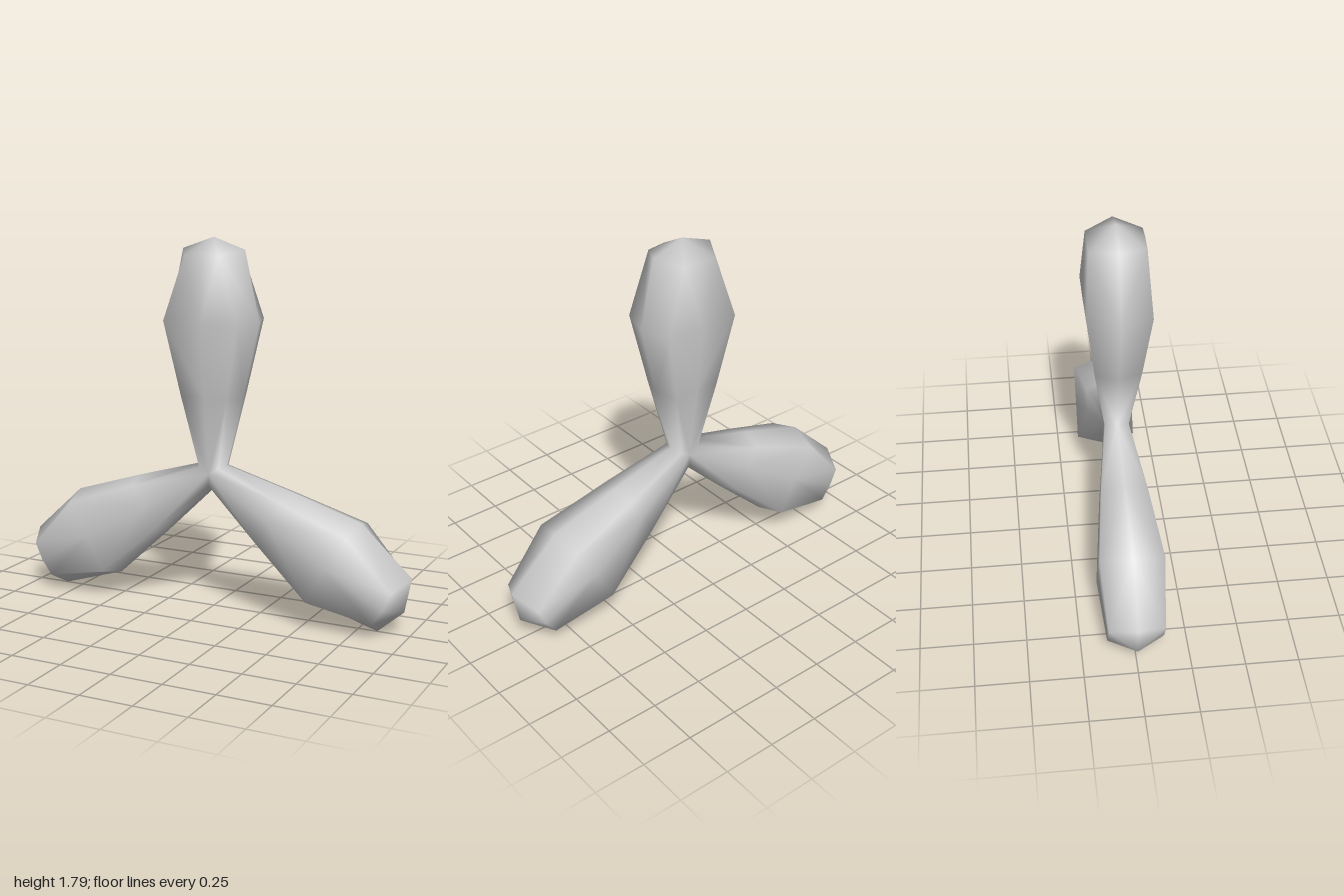
import * as THREE from 'three';
import { mergeVertices } from 'three/addons/utils/BufferGeometryUtils.js';

const HUB_Y = 0.67;
const TIP_R = 1.12;

// Cross-sections along a blade: side, corner and middle each have their own radius r from the hub.
// side half-width, corner half-width, half-depth, r at side, r at corner, r at middle
const SECTIONS = [
  [0.07, 0.05, 0.058, 0.07 / Math.sqrt(3), 0.05 / Math.sqrt(3), 0],
  [0.155, 0.12, 0.11, 0.38, 0.38, 0.38],
  [0.235, 0.19, 0.15, 0.735, 0.735, 0.725],
  [0.16, 0.09, 0.13, 1.065, 1.04, 1.05],
];

// Eight-sided ring, counter-clockwise seen from the tip
function ring([s, c, d, rs, rc, rm]) {
  return [
    [s, rs, 0], [c, rc, -d], [0, rm, -d], [-c, rc, -d],
    [-s, rs, 0], [-c, rc, d], [0, rm, d], [c, rc, d],
  ].map((p) => new THREE.Vector3(...p));
}

function bladeTriangles() {
  const rings = SECTIONS.map(ring);
  const tip = new THREE.Vector3(0, TIP_R, 0);
  const out = [];
  for (let j = 0; j < 8; j++) {
    const k = (j + 1) % 8;
    for (let i = 0; i < rings.length - 1; i++) {
      const [lo, hi] = [rings[i], rings[i + 1]];
      // mirror the diagonal so that the blade stays symmetric
      if (j % 2) out.push(lo[j], lo[k], hi[j], lo[k], hi[k], hi[j]);
      else out.push(lo[j], lo[k], hi[k], lo[j], hi[k], hi[j]);
    }
    const last = rings[rings.length - 1];
    out.push(last[j], last[k], tip);
  }
  return out;
}

export function createModel() {
  const group = new THREE.Group();
  group.name = 'rotor';

  // Three blades, 120 degrees apart, welded at the hub for continuous smooth shading
  const points = [];
  const blade = bladeTriangles();
  const axis = new THREE.Vector3(0, 0, 1);
  for (let n = 0; n < 3; n++) {
    for (const p of blade) points.push(p.clone().applyAxisAngle(axis, (n * Math.PI * 2) / 3));
  }
  const geometry = mergeVertices(new THREE.BufferGeometry().setFromPoints(points), 1e-3);
  geometry.computeVertexNormals();

  const blades = new THREE.Mesh(geometry, new THREE.MeshStandardMaterial({ color: 0xcccccc }));
  blades.name = 'threeBlades';
  blades.position.y = HUB_Y;
  group.add(blades);
  return group;
}
